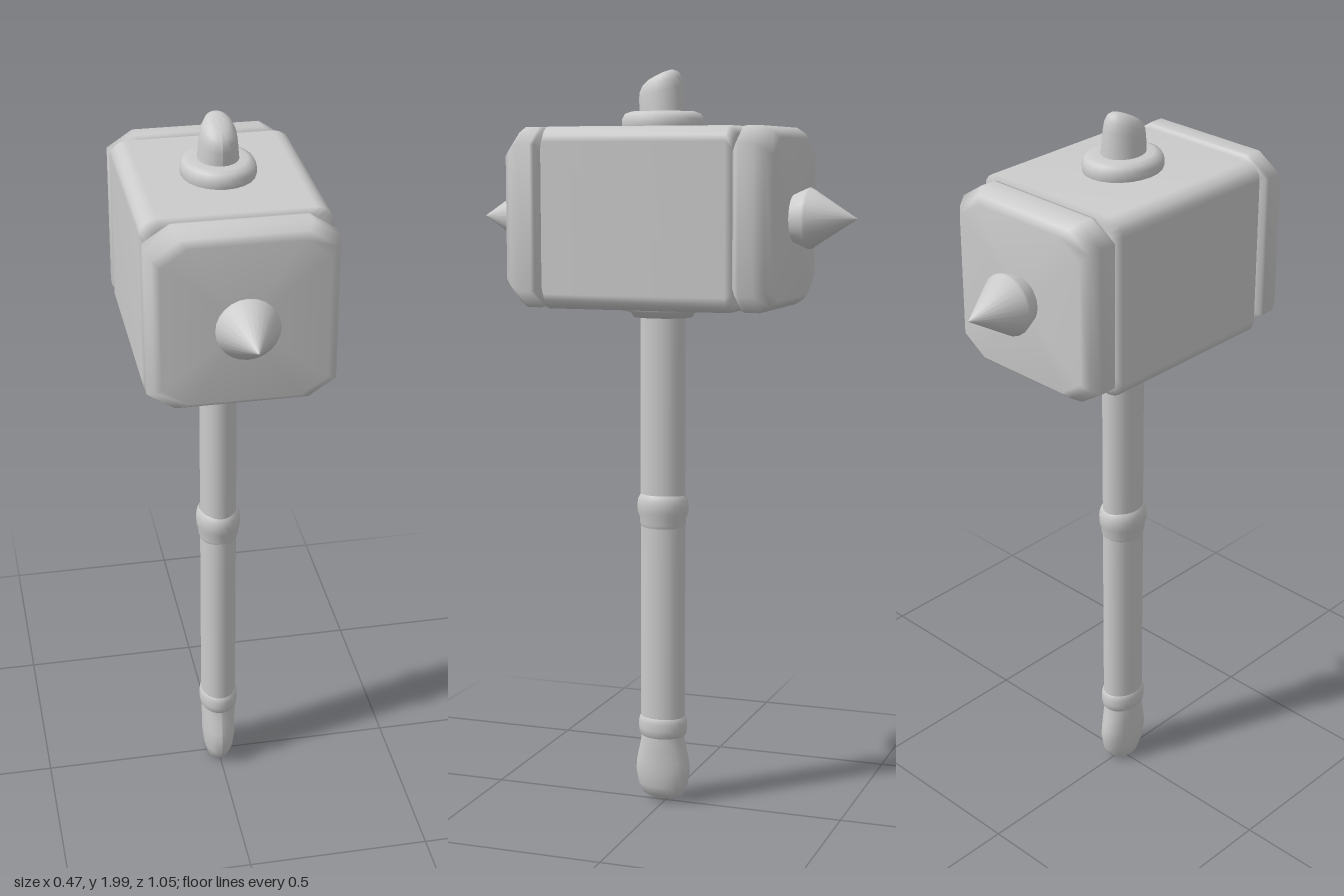
import * as THREE from 'three';
import { toCreasedNormals } from 'three/addons/utils/BufferGeometryUtils.js';

const material = new THREE.MeshStandardMaterial({ color: 0xcccccc });
const HEAD_Y = 1.61, AXIS_Z = 0.007;

function addMesh(parent, name, geometry) {
  const mesh = new THREE.Mesh(geometry, material);
  mesh.name = name;
  parent.add(mesh);
  return mesh;
}

// Box section with cut (steps = 1) or rounded corners, lofted along z through [z, inset] rings
function loftedBlock(rings, cutX, cutY, steps) {
  const half = 0.235, positions = [], index = [];
  const count = 4 * (steps + 1);
  for (const [z, inset] of rings) {
    const h = half - inset;
    for (let q = 0; q < 4; q++) {
      const sx = q === 0 || q === 3 ? 1 : -1, sy = q < 2 ? 1 : -1;
      for (let s = 0; s <= steps; s++) {
        const a = (q + s / steps) * Math.PI / 2;
        positions.push(sx * (h - cutX) + cutX * Math.cos(a), sy * (h - cutY) + cutY * Math.sin(a), z);
      }
    }
  }
  const last = rings.length - 1;
  for (let k = 0; k < last; k++) {
    for (let i = 0; i < count; i++) {
      const j = (i + 1) % count;
      const a = k * count + i, b = k * count + j;
      index.push(a, b, b + count, a, b + count, a + count);
    }
  }
  // end faces
  const back = positions.length / 3, front = back + 1;
  positions.push(0, 0, rings[0][0], 0, 0, rings[last][0]);
  for (let i = 0; i < count; i++) {
    const j = (i + 1) % count;
    index.push(back, j, i, front, last * count + i, last * count + j);
  }
  const geometry = new THREE.BufferGeometry();
  geometry.setAttribute('position', new THREE.Float32BufferAttribute(positions, 3));
  geometry.setIndex(index);
  geometry.computeVertexNormals();
  return geometry;
}

// Turned part with an oval section: radii are given along z and narrowed along x
function turned(profile, narrow = 1, segments = 24) {
  const geometry = new THREE.LatheGeometry(profile.map(([r, y]) => new THREE.Vector2(r, y)), segments);
  return geometry.scale(narrow, 1, 1);
}

export function createModel() {
  const hammer = new THREE.Group();
  hammer.name = 'warHammer';

  // Head: central block with a bevelled cap on each end
  const head = new THREE.Group();
  head.name = 'head';
  head.position.y = HEAD_Y;
  hammer.add(head);
  addMesh(head, 'headBlock', loftedBlock(
    [[-0.254, 0.02], [-0.24, 0], [0.253, 0], [0.267, 0.02]], 0.045, 0.04, 4));
  const capRings = [[0, 0.02], [0.012, 0.002], [0.022, 0], [0.06, 0], [0.085, 0.014], [0.102, 0.03]];
  addMesh(head, 'frontCap', loftedBlock(capRings.map(([d, inset]) => [0.267 + d, inset]), 0.068, 0.045, 1));
  addMesh(head, 'backCap', loftedBlock(
    capRings.map(([d, inset]) => [-0.253 - d, inset]).reverse(), 0.068, 0.045, 1));

  // Spikes on both striking faces
  for (const [name, side, start] of [['frontSpike', 1, 0.36], ['backSpike', -1, 0.346]]) {
    const geometry = turned([[0, start], [0.058, start], [0.079, 0.393], [0.079, 0.4], [0, 0.523]]);
    geometry.rotateX(side * Math.PI / 2);
    addMesh(head, name, toCreasedNormals(geometry, 0.7));
  }

  // Parts along the handle axis
  const shaft = new THREE.Group();
  shaft.name = 'shaft';
  shaft.position.z = AXIS_Z;
  hammer.add(shaft);

  addMesh(shaft, 'handle', turned([[0.062, 0.2], [0.062, 1.4]], 0.79));

  addMesh(shaft, 'gripRing', turned([
    [0.06, 0.775], [0.064, 0.785], [0.064, 0.8], [0.07, 0.815], [0.071, 0.835],
    [0.069, 0.85], [0.064, 0.86], [0.06, 0.865]], 0.85));

  addMesh(shaft, 'lowerRing', turned([
    [0.058, 0.185], [0.066, 0.195], [0.068, 0.21], [0.068, 0.228], [0.065, 0.24], [0.06, 0.245]], 0.79));

  // Pommel, with its underside slightly slanted
  const pommel = turned([
    [0, 0.004], [0.03, 0.005], [0.055, 0.016], [0.07, 0.045], [0.077, 0.085],
    [0.075, 0.115], [0.066, 0.155], [0.061, 0.18], [0.06, 0.2]], 0.6);
  const pommelPoints = pommel.attributes.position;
  for (let i = 0; i < pommelPoints.count; i++) {
    const x = pommelPoints.getX(i), y = pommelPoints.getY(i);
    const low = Math.max(0, 1 - y / 0.05);
    pommelPoints.setY(i, Math.max(0, y + low * x * 0.35));
    // widen into the round neck
    pommelPoints.setX(i, x * (1 + 0.3 * THREE.MathUtils.smoothstep(y, 0.1, 0.19)));
  }
  pommel.computeVertexNormals();
  addMesh(shaft, 'pommel', pommel);

  // Collars above and below the head
  addMesh(shaft, 'topCollar', turned([
    [0.105, 1.835], [0.11, 1.848], [0.11, 1.866], [0.102, 1.88], [0.085, 1.886], [0.055, 1.886]], 0.86));
  addMesh(shaft, 'bottomCollar', turned([
    [0.055, 1.344], [0.08, 1.345], [0.088, 1.357], [0.105, 1.362], [0.108, 1.372], [0.108, 1.385]], 0.82));

  // Finial with a slanted top, high at the back
  const finial = turned([
    [0.062, 1.87], [0.061, 1.9], [0.06, 1.935], [0.057, 1.955], [0.049, 1.97],
    [0.035, 1.979], [0.018, 1.982], [0, 1.983]], 0.86);
  const finialPoints = finial.attributes.position;
  for (let i = 0; i < finialPoints.count; i++) {
    const y = finialPoints.getY(i), z = finialPoints.getZ(i);
    const t = (y - 1.87) / 0.113;
    finialPoints.setX(i, finialPoints.getX(i) * (1 - 0.15 * t));
    finialPoints.setY(i, y - z * 0.45 * t);
    finialPoints.setZ(i, z + 0.008 * t);
  }
  finial.computeVertexNormals();
  addMesh(shaft, 'finial', finial);

  return hammer;
}
